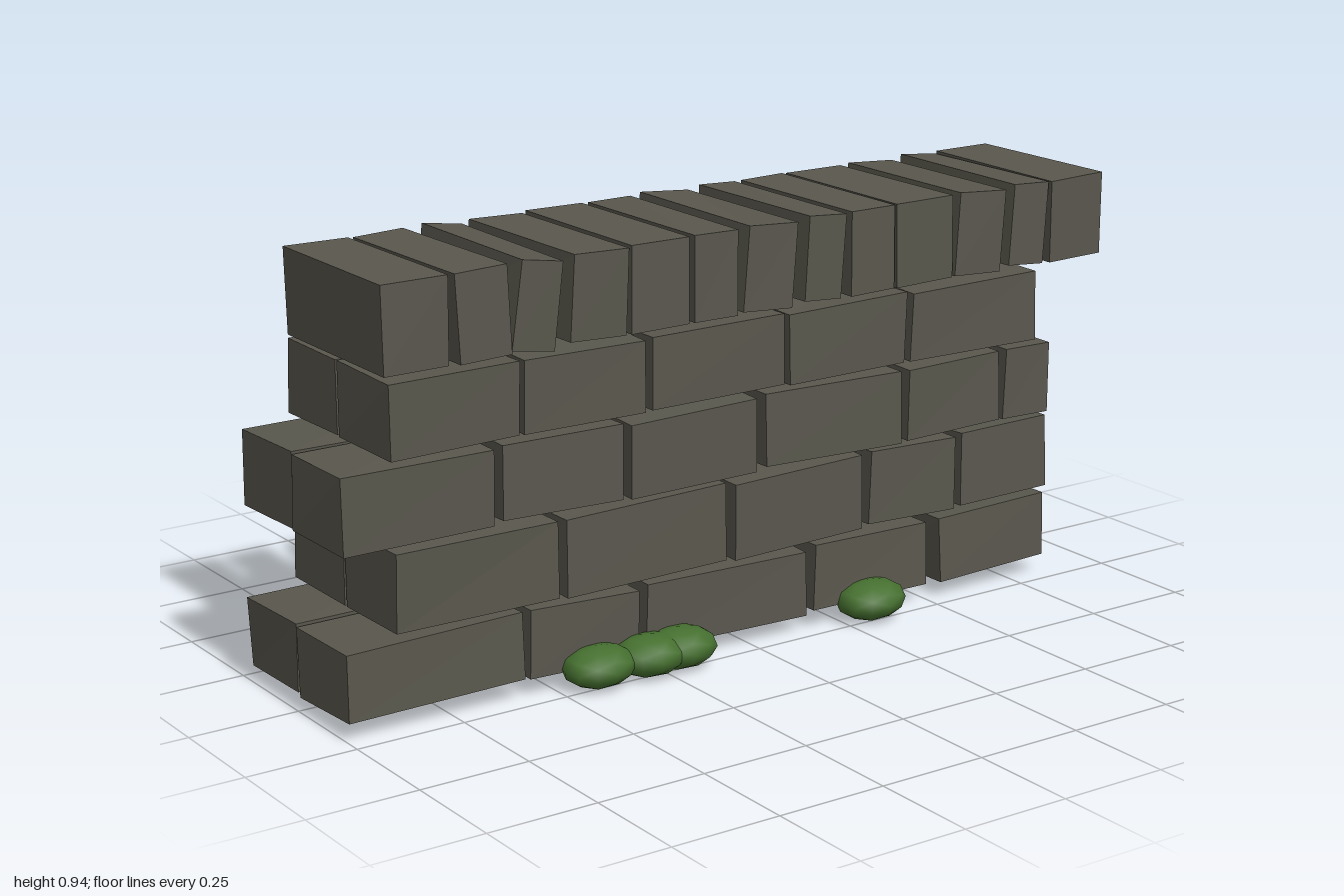
import * as THREE from 'three';

// Small seeded generator, returns -1..1
function makeJitter(seed) {
  let s = seed;
  return () => {
    s = (s * 16807) % 2147483647;
    return (s / 2147483647) * 2 - 1;
  };
}

export function createModel() {
  const stone = new THREE.MeshStandardMaterial({ color: 0x59574d });
  stone.name = 'stone';
  const moss = new THREE.MeshStandardMaterial({ color: 0x467030 });
  moss.name = 'moss';

  const wall = new THREE.Group();
  wall.name = 'wall';
  const jitter = makeJitter(4217);

  // One hewn block: a box with slightly uneven corners
  function addBlock(parent, name, size, pos, rot, wobble) {
    const geo = new THREE.BoxGeometry(...size).toNonIndexed();
    const p = geo.attributes.position;
    const offsets = Array.from({ length: 8 }, () => [jitter(), jitter(), jitter()]);
    for (let i = 0; i < p.count; i++) {
      const corner = (p.getX(i) > 0 ? 1 : 0) + (p.getY(i) > 0 ? 2 : 0) + (p.getZ(i) > 0 ? 4 : 0);
      const o = offsets[corner];
      p.setXYZ(i, p.getX(i) + o[0] * wobble, p.getY(i) + o[1] * wobble, p.getZ(i) + o[2] * wobble);
    }
    geo.computeVertexNormals();
    const mesh = new THREE.Mesh(geo, stone);
    mesh.name = name;
    mesh.position.set(...pos);
    mesh.rotation.set(...rot);
    parent.add(mesh);
  }

  // Four courses; each brick is [left, right, tilt], laid in a front and a back leaf
  const courses = [
    { y0: 0.042, y1: 0.195, bricks: [[-1, -0.58, 0.01], [-0.567, -0.292, -0.03], [-0.272, 0.152, -0.015], [0.17, 0.497, -0.02], [0.53, 0.843, 0.01]] },
    { y0: 0.209, y1: 0.383, bricks: [[-0.885, -0.492, 0], [-0.475, -0.062, 0.008], [-0.042, 0.308, 0.01], [0.325, 0.575, -0.03], [0.59, 0.847, 0.015]] },
    { y0: 0.396, y1: 0.563, bricks: [[-0.999, -0.643, -0.005], [-0.622, -0.332, -0.02], [-0.308, 0.018, 0.015], [0.042, 0.415, -0.012], [0.432, 0.697, 0.02], [0.713, 0.848, -0.02]] },
    { y0: 0.577, y1: 0.739, bricks: [[-0.887, -0.582, 0], [-0.566, -0.273, 0.008], [-0.257, 0.09, -0.01], [0.105, 0.423, 0.01], [0.437, 0.8, 0]] },
  ];
  courses.forEach(({ y0, y1, bricks }, row) => {
    const course = new THREE.Group();
    course.name = 'course' + (row + 1);
    for (const side of [1, -1]) {
      for (const [x0, x1, tilt] of bricks) {
        addBlock(
          course,
          side > 0 ? 'frontBrick' : 'backBrick',
          [x1 - x0 - 0.003, y1 - y0 - 0.003, 0.209],
          [(x0 + x1) / 2, (y0 + y1) / 2, side * 0.109],
          [jitter() * 0.025, jitter() * 0.02, tilt],
          0.003
        );
      }
    }
    wall.add(course);
  });

  // Upright capping stones spanning the full depth: [left, right, tilt]
  const capping = new THREE.Group();
  capping.name = 'capping';
  const caps = [
    [-0.891, -0.738, 0.01], [-0.724, -0.594, 0.05], [-0.588, -0.466, -0.13], [-0.453, -0.308, -0.04],
    [-0.301, -0.157, 0], [-0.142, -0.03, 0], [-0.017, 0.127, -0.075], [0.146, 0.258, -0.06],
    [0.272, 0.394, 0.01], [0.4, 0.559, 0.02], [0.564, 0.709, -0.07], [0.721, 0.837, -0.08], [0.843, 0.997, 0.012],
  ];
  for (const [x0, x1, tilt] of caps) {
    const h = 0.188;
    addBlock(
      capping,
      'capStone',
      [x1 - x0 - Math.abs(tilt) * h, h, 0.41],
      [(x0 + x1) / 2, 0.844, 0],
      [jitter() * 0.003, jitter() * 0.012, tilt],
      0.002
    );
  }
  wall.add(capping);

  // Moss cushions along the foot: [x, z]
  const cushions = new THREE.Group();
  cushions.name = 'mossCushions';
  const cushionGeo = new THREE.IcosahedronGeometry(1, 1);
  const spots = [
    [-0.41, 0.235], [-0.285, 0.24], [-0.205, 0.238], [0.32, 0.232],
    [-0.65, -0.24], [-0.095, -0.238], [-0.025, -0.242], [0.127, -0.24], [0.787, -0.238],
  ];
  for (const [x, z] of spots) {
    const m = new THREE.Mesh(cushionGeo, moss);
    m.name = 'mossCushion';
    m.position.set(x, 0.05, z);
    m.scale.set(0.086, 0.046, 0.07);
    m.rotation.y = jitter() * 0.15;
    cushions.add(m);
  }
  wall.add(cushions);

  return wall;
}
